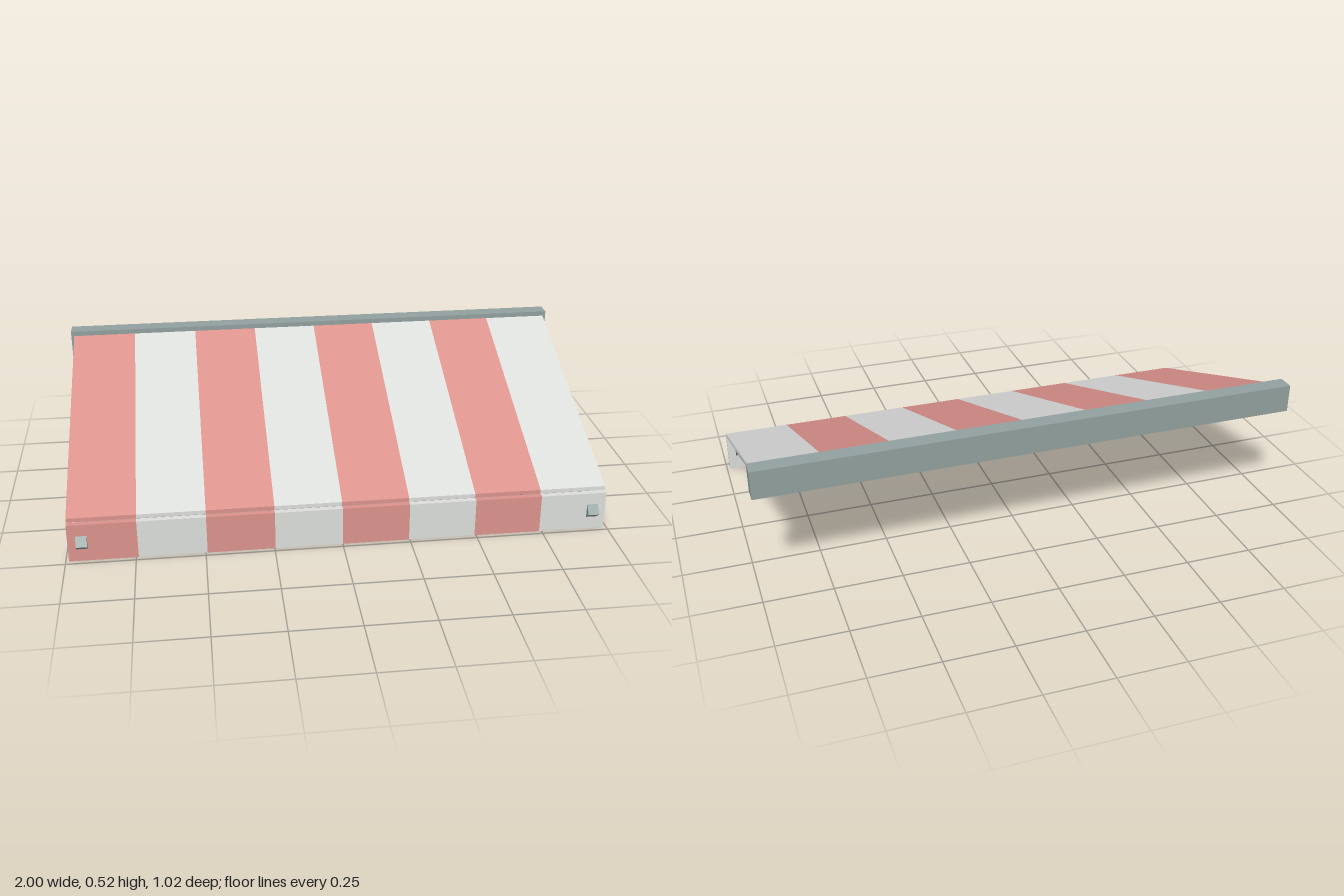
import * as THREE from 'three';

const metal = new THREE.MeshStandardMaterial({ color: 0x92a19f });
metal.name = 'grey green metal';
const red = new THREE.MeshStandardMaterial({ color: 0xdc938d });
red.name = 'faded red cloth';
const white = new THREE.MeshStandardMaterial({ color: 0xdcdedc });
white.name = 'off white cloth';

// Solid with a side profile of [z, y] points, spanning x0 to x1
function prism(name, profile, x0, x1, material) {
  const shape = new THREE.Shape(profile.map(([z, y]) => new THREE.Vector2(z, y)));
  const geometry = new THREE.ExtrudeGeometry(shape, { depth: x1 - x0, bevelEnabled: false });
  geometry.rotateY(-Math.PI / 2);
  geometry.translate(x1, 0, 0);
  const mesh = new THREE.Mesh(geometry, material);
  mesh.name = name;
  return mesh;
}

export function createModel() {
  const awning = new THREE.Group();
  awning.name = 'awning';

  // Wall rail along the back
  const rail = new THREE.Mesh(new THREE.BoxGeometry(2, 0.105, 0.062), metal);
  rail.name = 'wallRail';
  rail.position.set(0, 0.472, -0.477);
  awning.add(rail);

  // Striped canvas and hanging valance
  const canvasProfile = [[0.46, 0.148], [0.46, 0.163], [-0.46, 0.511], [-0.46, 0.496]];
  const valanceProfile = [[0.46, 0], [0.482, 0], [0.482, 0.147], [0.46, 0.147]];
  const stripes = 8, half = 0.988, width = 2 * half / stripes;
  for (let i = 0; i < stripes; i++) {
    const x0 = -half + i * width;
    const cloth = i % 2 ? white : red;
    awning.add(prism('canvasStripe', canvasProfile, x0, x0 + width, cloth));
    awning.add(prism('valanceStripe', valanceProfile, x0, x0 + width, cloth));
  }

  // Sloping arms, each with an angled end bracket poking through the valance
  const armProfile = [[0.444, 0.08], [0.463, 0.13], [-0.46, 0.489], [-0.46, 0.432]];
  const bracketProfile = [[0.473, 0.041], [0.508, 0.07], [0.466, 0.12], [0.431, 0.091]];
  for (const side of [-1, 1]) {
    const x = side * 0.938;
    awning.add(prism('supportArm', armProfile, x - 0.02, x + 0.02, metal));
    awning.add(prism('endBracket', bracketProfile, x - 0.02, x + 0.02, metal));
  }
  return awning;
}
